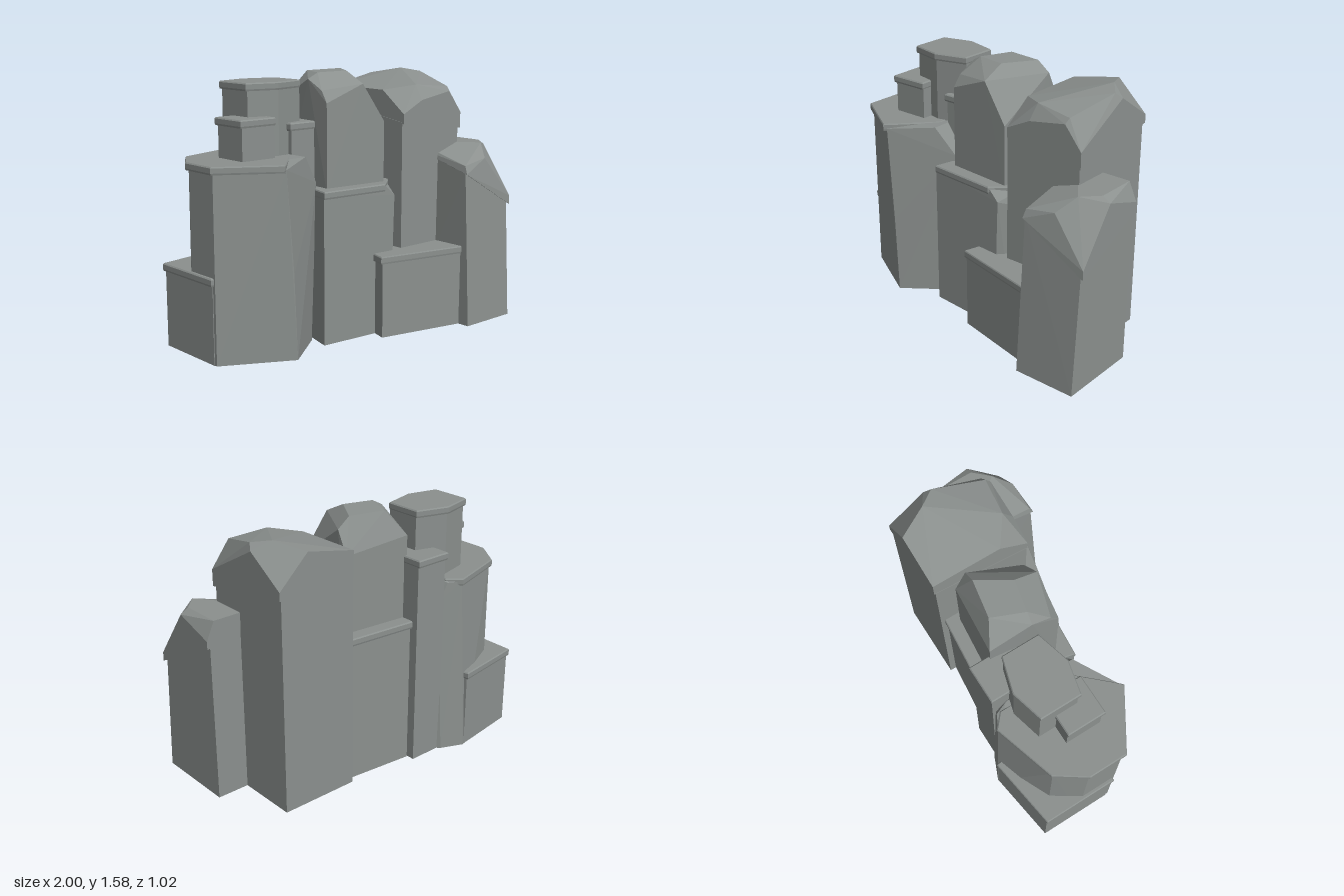
import * as THREE from 'three';
import { ConvexGeometry } from 'three/addons/geometries/ConvexGeometry.js';

// Double-sided because the rocks are open underneath
const stone = new THREE.MeshStandardMaterial({ color: 0x8b908e, side: THREE.DoubleSide });
stone.name = 'grey stone';

// Faceted rock from its corner points, left open where it meets the ground
function hull(name, points) {
  const solid = new ConvexGeometry(points.map((p) => new THREE.Vector3(...p))).getAttribute('position');
  const kept = [];
  for (let i = 0; i < solid.count; i += 3) {
    const corners = [i, i + 1, i + 2];
    if (corners.every((c) => solid.getY(c) < 1e-4)) continue;
    for (const c of corners) kept.push(solid.getX(c), solid.getY(c), solid.getZ(c));
  }
  const geometry = new THREE.BufferGeometry();
  geometry.setAttribute('position', new THREE.Float32BufferAttribute(kept, 3));
  geometry.computeVertexNormals();
  const mesh = new THREE.Mesh(geometry, stone);
  mesh.name = name;
  return mesh;
}

// Horizontal ring of points at height y, pulled in towards its middle by d and shifted along x
function ring(outline, y, d = 0, shift = 0) {
  const xs = outline.map((p) => p[0]), zs = outline.map((p) => p[1]);
  const x0 = Math.min(...xs), x1 = Math.max(...xs), z0 = Math.min(...zs), z1 = Math.max(...zs);
  const cx = (x0 + x1) / 2, cz = (z0 + z1) / 2;
  const sx = 1 - (2 * d) / (x1 - x0), sz = 1 - (2 * d) / (z1 - z0);
  return outline.map(([x, z]) => [cx + shift + (x - cx) * sx, y, cz + (z - cz) * sz]);
}

const rect = (x0, x1, z0, z1) => [[x0, z0], [x1, z0], [x1, z1], [x0, z1]];

// Overhanging slab with a slim bevelled rim
const slab = (name, outline, top) => hull(name, [
  ...ring(outline, top - 0.045, 0.003), ...ring(outline, top - 0.035),
  ...ring(outline, top - 0.007), ...ring(outline, top, 0.006),
]);

// Straight column topped by a slab that overhangs mostly towards -x
function column(name, outline, bottom, top) {
  const group = new THREE.Group();
  group.name = name;
  group.add(
    hull(name + 'Body', [...ring(outline, bottom, 0.009, 0.007), ...ring(outline, top - 0.03, 0.009, 0.007)]),
    slab(name + 'Slab', outline, top),
  );
  return group;
}

export function createModel() {
  const model = new THREE.Group();
  model.name = 'rockyCliff';

  // Plain slab-topped columns
  model.add(
    column('lowBackLedge', [[-1, -0.44], [-0.54, -0.51], [-0.5, -0.3], [-0.9, 0.04], [-1, 0.04]], 0, 0.5),
    column('lowFrontLedge', [[0.027, 0.312], [0.64, 0.45], [0.64, 0], [0.12, 0]], 0, 0.5),
    column('backColumn', rect(-0.4, -0.165, -0.435, 0), 0, 1.3),
    column('smallColumn', rect(-0.785, -0.54, -0.195, 0.045), 1.08, 1.35),
    column('hexColumn', [[-0.675, -0.3], [-0.48, -0.35], [-0.275, -0.29], [-0.275, -0.06], [-0.48, -0.005], [-0.675, -0.05]], 1.08, 1.54),
  );

  // Large right-hand rock with chamfered inner corners
  model.add(
    hull('broadRockBody', [
      [-0.98, 0, 0.05], [-0.58, 0, 0.27], [-0.3, 0, 0.06], [-0.33, 0, -0.38], [-0.39, 0, -0.445], [-0.53, 0, -0.505], [-0.87, 0, -0.345], [-0.98, 0, -0.18],
      [-0.6, 0.5, 0.268], [-0.26, 0.95, 0.06], [-0.37, 0.98, -0.4],
      [-0.98, 1.1, 0.05], [-0.642, 1.09, 0.262], [-0.38, 1.118, 0.11], [-0.39, 1.118, -0.34], [-0.42, 1.1, -0.42], [-0.5, 1.1, -0.46], [-0.87, 1.1, -0.34], [-0.98, 1.1, -0.17],
    ]),
    slab('broadRockSlab', [[-1, -0.18], [-0.88, -0.355], [-0.5, -0.47], [-0.42, -0.4], [-0.42, 0.02], [-0.62, 0.235], [-0.66, 0.275], [-1, 0.06]], 1.12),
  );

  // Middle block, its front corner cut away
  model.add(
    hull('middleBlock', [
      ...[[-0.308, 0.185], [0.19, 0.227], [0.27, 0.14], [0.285, -0.335], [-0.16, -0.378]].map(([x, z]) => [x, 0, z]),
      [-0.308, 0.89, 0.185], [0.15, 0.9, 0.222], [0.215, 0.84, 0.229], [0.28, 0.81, 0.14], [0.285, 0.9, 0.08], [0.285, 0.89, -0.335], [-0.16, 0.89, -0.378],
    ]),
    slab('middleBlockSlab', [[-0.31, 0.19], [0.14, 0.228], [0.288, 0.1], [0.288, -0.35], [-0.17, -0.39]], 0.915),
  );

  // Faceted boulder on the middle block
  model.add(hull('middleBoulder', [
    [-0.22, 0.88, 0.11], [0.2, 0.88, 0.15], [0.24, 0.88, -0.27], [-0.185, 0.88, -0.31],
    [-0.22, 1.41, 0.11], [0.2, 1.28, 0.15], [0.24, 1.38, -0.27], [-0.185, 1.42, -0.31],
    [-0.215, 1.48, 0.06], [0.04, 1.51, 0.135], [0.24, 1.52, -0.2], [-0.215, 1.54, -0.06],
    [-0.15, 1.575, -0.05], [0.04, 1.58, -0.01], [0.16, 1.58, -0.2], [-0.07, 1.575, -0.24],
  ]));

  // Tall tower with a tilted, faceted cap
  model.add(
    hull('tallTowerBody', [
      ...ring(rect(0.282, 0.777, -0.375, 0.222), 0),
      [0.282, 1.27, 0.222], [0.777, 1.215, 0.222], [0.777, 1.31, -0.375], [0.282, 1.36, -0.375],
    ]),
    hull('tallTowerCap', [
      [0.285, 1.26, 0.232], [0.79, 1.2, 0.232], [0.79, 1.295, -0.382], [0.285, 1.355, -0.382],
      [0.285, 1.32, 0.232], [0.44, 1.395, 0.232], [0.68, 1.435, 0.232], [0.79, 1.3, 0.232],
      [0.285, 1.455, 0.05], [0.45, 1.485, 0.17], [0.69, 1.465, 0.205],
      [0.765, 1.54, -0.1], [0.69, 1.56, -0.2], [0.79, 1.505, -0.14],
      [0.6, 1.525, -0.382], [0.285, 1.46, -0.382], [0.79, 1.345, -0.382],
    ]),
  );

  // Leaning front column with a steep faceted cap
  model.add(
    hull('frontColumnBody', [
      [0.59, 0, 0.508], [0.977, 0, 0.508], [0.977, 0, 0.003], [0.59, 0, 0.003],
      [0.597, 0.96, 0.455], [0.98, 0.74, 0.465], [0.98, 0.97, 0.003], [0.605, 1.08, 0.003],
    ]),
    hull('frontColumnCap', [
      [0.592, 0.95, 0.472], [1, 0.715, 0.476], [1, 0.95, 0], [0.595, 1.08, 0],
      [0.6, 1, 0.45], [0.785, 1.03, 0.445], [1, 0.77, 0.474], [1, 1, 0], [1, 1.08, 0.25],
      [0.86, 1.11, 0.345], [0.95, 1.11, 0.25], [0.95, 1.11, 0], [0.61, 1.11, 0],
    ]),
  );

  return model;
}
